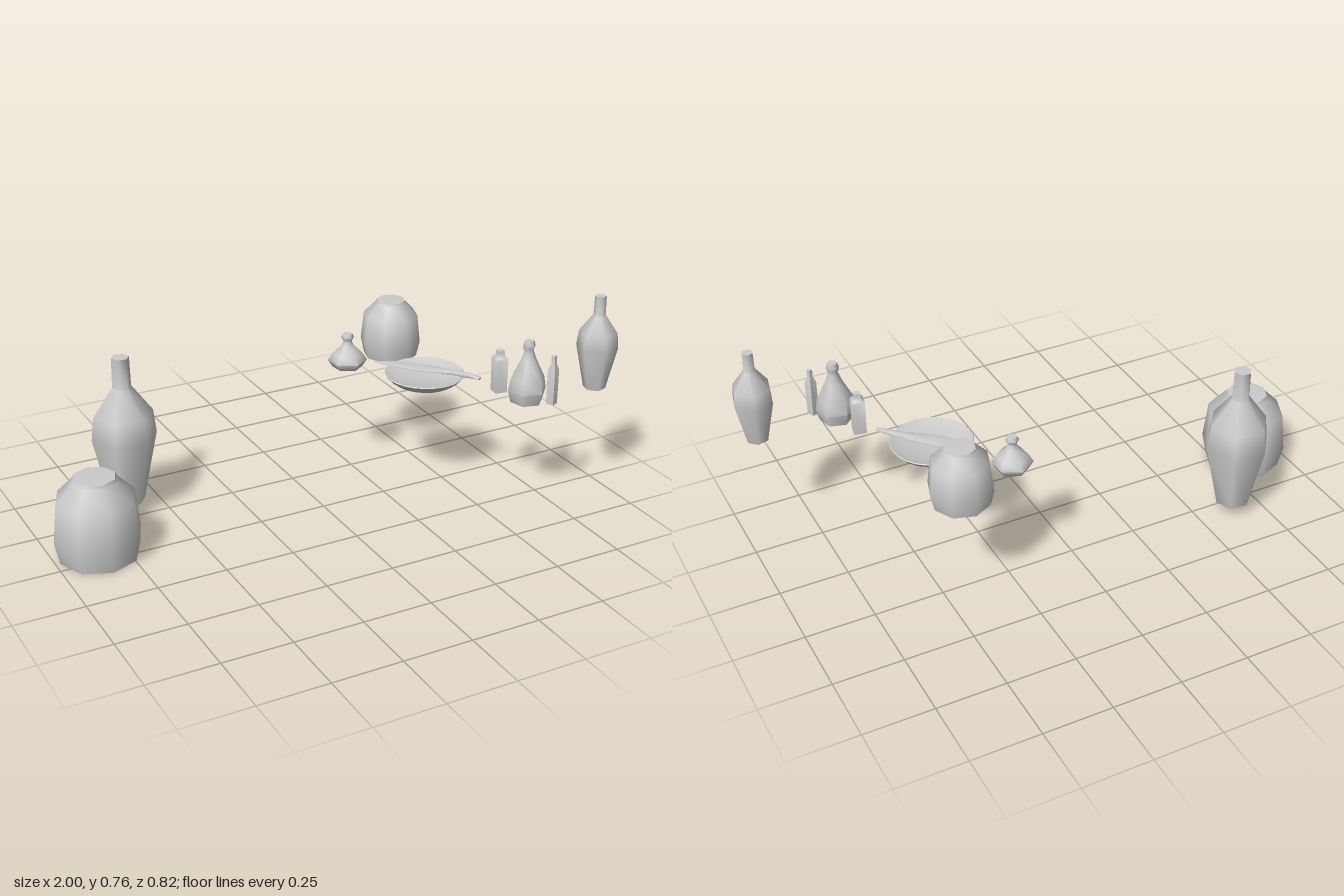
import * as THREE from 'three';
import { toCreasedNormals } from 'three/addons/utils/BufferGeometryUtils.js';

const material = new THREE.MeshStandardMaterial({ color: 0xcccccc });

// Profiles as [radius, height], bottom to top, closed at both ends
const JAR = [[0, 0], [0.139, 0], [0.157, 0.08], [0.141, 0.225], [0.082, 0.286], [0.076, 0.3], [0, 0.304]];
const VASE = [[0, 0], [0.063, 0], [0.118, 0.253], [0.108, 0.34], [0.034, 0.444], [0.032, 0.555], [0, 0.555]];
const SQUAT = [[0, 0], [0.056, 0], [0.072, 0.026], [0.056, 0.052], [0.024, 0.082], [0.015, 0.1],
  [0.024, 0.116], [0.018, 0.128], [0, 0.128]];
const TEARDROP = [[0, 0], [0.058, 0], [0.07, 0.045], [0.062, 0.09], [0.03, 0.155], [0.017, 0.19],
  [0.023, 0.21], [0.018, 0.228], [0, 0.228]];
const VIAL = [[0, 0], [0.031, 0], [0.032, 0.128], [0.018, 0.137], [0.016, 0.157], [0, 0.157]];
const THIN_VIAL = [[0, 0], [0.02, 0], [0.02, 0.13], [0.01, 0.15], [0.01, 0.18], [0, 0.18]];
const DISH = [[0, 0], [0.11, 0], [0.13, 0.014], [0.145, 0.031], [0.142, 0.034], [0.11, 0.02], [0, 0.016]];

// Turned vessel; turn is the angle of one corner, from +x towards +z
function vessel(name, profile, sides, [x, y, z], turn = 0, scale = 1) {
  const points = profile.map(([r, h]) => new THREE.Vector2(r * scale, h * scale));
  const start = Math.PI / 2 - THREE.MathUtils.degToRad(turn);
  const geometry = new THREE.LatheGeometry(points, sides, start, Math.PI * 2);
  const mesh = new THREE.Mesh(toCreasedNormals(geometry, 1.1), material);
  mesh.name = name;
  mesh.position.set(x, y, z);
  return mesh;
}

// Curved knife: a tube bent along its spine, flat at the blade, round at the handle
function knife() {
  const spine = new THREE.CatmullRomCurve3([
    [0.288, 0.457, -0.152], [0.335, 0.46, -0.095], [0.39, 0.46, -0.03], [0.44, 0.459, 0.02],
    [0.49, 0.457, 0.068], [0.525, 0.455, 0.11], [0.553, 0.452, 0.152],
  ].map((p) => new THREE.Vector3(...p)));
  const widths = [0.004, 0.026, 0.033, 0.029, 0.016, 0.013, 0.008];
  const heights = [0.002, 0.004, 0.005, 0.006, 0.008, 0.009, 0.005];
  const at = (list, t) => {
    const s = t * (list.length - 1);
    const i = Math.min(Math.floor(s), list.length - 2);
    return THREE.MathUtils.lerp(list[i], list[i + 1], s - i);
  };
  const geometry = new THREE.CylinderGeometry(1, 1, 1, 10, 18);
  const position = geometry.attributes.position;
  const up = new THREE.Vector3(0, 1, 0);
  const v = new THREE.Vector3();
  for (let i = 0; i < position.count; i++) {
    v.fromBufferAttribute(position, i);
    const t = THREE.MathUtils.clamp(v.y + 0.5, 0, 1);
    const side = spine.getTangent(t).cross(up).normalize();
    const p = spine.getPoint(t)
      .addScaledVector(side, v.x * at(widths, t))
      .addScaledVector(up, v.z * at(heights, t));
    position.setXYZ(i, p.x, p.y, p.z);
  }
  const mesh = new THREE.Mesh(toCreasedNormals(geometry, 1.0), material);
  mesh.name = 'knife';
  return mesh;
}

export function createModel() {
  const group = new THREE.Group();
  group.name = 'vesselsAndTableware';
  group.add(
    // Large pair low on the right
    vessel('largeJar', JAR, 8, [-0.845, 0, -0.048]),
    vessel('largeVase', VASE, 6, [-0.638, 0.045, -0.3], 7),
    // Smaller set raised on the left
    vessel('smallJar', JAR, 8, [0.44, 0.407, -0.297], -5, 0.72),
    vessel('smallVase', VASE, 6, [0.923, 0.415, 0.335], -17, 0.63),
    vessel('squatBottle', SQUAT, 6, [0.22, 0.423, -0.23], 25),
    vessel('teardropBottle', TEARDROP, 6, [0.635, 0.418, 0.326], 15),
    vessel('vial', VIAL, 4, [0.594, 0.42, 0.213], 55),
    vessel('thinVial', THIN_VIAL, 4, [0.698, 0.42, 0.39], 20),
    // Dish with the knife laid across it
    vessel('dish', DISH, 24, [0.41, 0.416, 0.006]),
    knife(),
  );
  return group;
}
